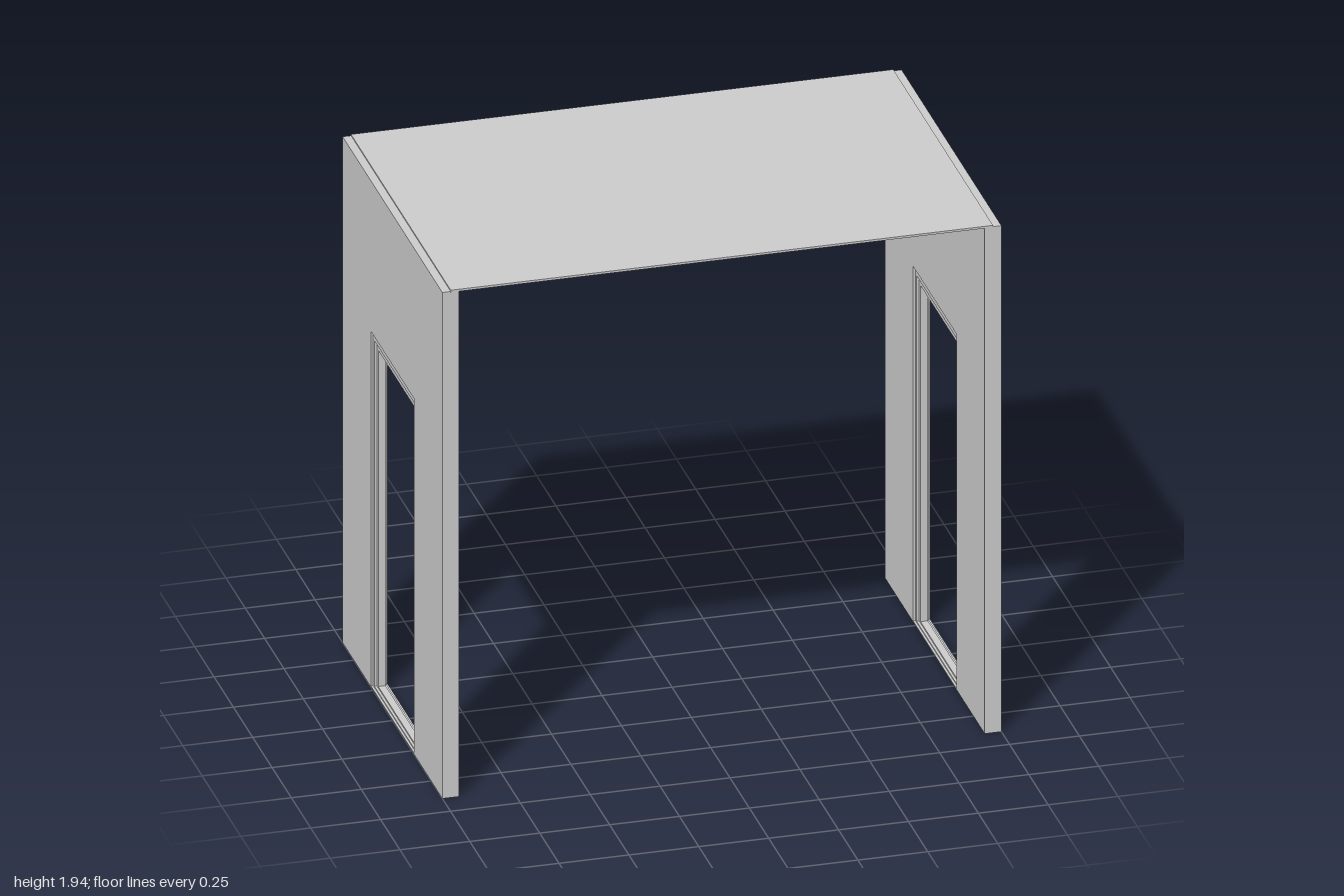
import * as THREE from 'three';

const material = new THREE.MeshStandardMaterial({ color: 0xcccccc, flatShading: true });
const WALL_X = 0.97;

// rectangle corners in the wall plane: half width along z, bottom and top in y
function corners([half, bottom, top]) {
  return [[-half, bottom], [half, bottom], [half, top], [-half, top]].map(([a, b]) => new THREE.Vector2(a, b));
}

// upright panel with a rectangular opening, centred on x = 0
function panel(name, outer, inner, thickness) {
  const shape = new THREE.Shape(corners(outer));
  shape.holes.push(new THREE.Path(corners(inner).reverse()));
  const geometry = new THREE.ExtrudeGeometry(shape, { depth: thickness, bevelEnabled: false });
  geometry.translate(0, 0, -thickness / 2).rotateY(-Math.PI / 2);
  const mesh = new THREE.Mesh(geometry, material);
  mesh.name = name;
  return mesh;
}

export function createModel() {
  const model = new THREE.Group();
  model.name = 'doorwayPassage';

  // nested openings, from the wall face to the slim stop in the middle
  const opening = [0.28, 0.004, 1.36];
  const step = [0.264, 0.009, 1.33];
  const clear = [0.245, 0.015, 1.3];

  // two side walls, each with a stepped door frame
  for (const [side, sign] of [['left', 1], ['right', -1]]) {
    const wall = new THREE.Group();
    wall.name = side + 'Wall';
    wall.add(
      panel('wallPanel', [0.645, 0, 1.935], opening, 0.06),
      panel('doorFrame', opening, step, 0.044),
      panel('doorStop', step, clear, 0.026)
    );
    wall.position.x = sign * WALL_X;
    model.add(wall);
  }

  // thin roof sheet resting on the middle of the walls
  const roof = new THREE.Mesh(new THREE.BoxGeometry(2 * WALL_X, 0.008, 1.29), material);
  roof.name = 'roof';
  roof.position.y = 1.936;
  model.add(roof);

  return model;
}
